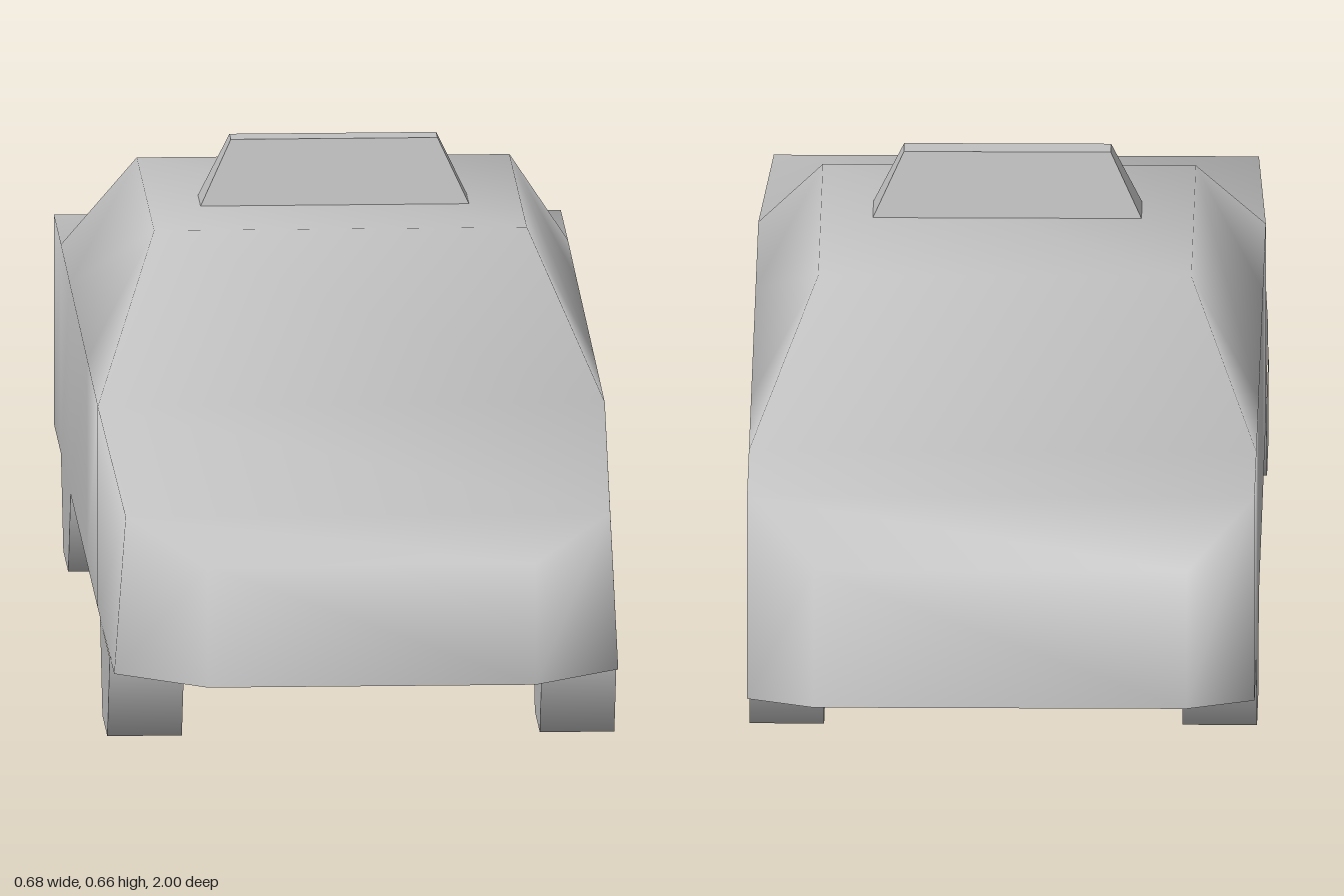
import * as THREE from 'three';
import { mergeVertices } from 'three/addons/utils/BufferGeometryUtils.js';

// Stations from nose to tail; each holds sill, belt and top as [x, y, z] on the left half.
const STATIONS = [
  [[0.22, 0.13, 1.0], [0.22, 0.29, 0.975], [0.22, 0.29, 0.975]],
  [[0.338, 0.116, 0.83], [0.325, 0.34, 0.88], [0.325, 0.34, 0.88]],
  [[0.34, 0.12, 0.4], [0.34, 0.395, 0.4], [0.34, 0.395, 0.4]],
  [[0.34, 0.12, 0.09], [0.34, 0.398, 0.09], [0.25, 0.573, 0.09]],
  [[0.34, 0.12, -0.41], [0.34, 0.402, -0.41], [0.25, 0.573, -0.41]],
  [[0.34, 0.12, -0.66], [0.34, 0.405, -0.66], [0.34, 0.405, -0.66]],
  [[0.34, 0.12, -0.865], [0.34, 0.405, -0.865], [0.34, 0.405, -0.865]],
  [[0.25, 0.15, -1.0], [0.25, 0.33, -0.96], [0.25, 0.33, -0.96]],
];

// Full cross-section: left sill up and over to right sill
const mirror = ([x, y, z]) => [-x, y, z];
const rings = STATIONS.map(([sill, belt, top]) => [sill, belt, top, mirror(top), mirror(belt), mirror(sill)]);

function surface(quads) {
  const points = [];
  for (const [a, b, c, d] of quads) points.push(...a, ...b, ...c, ...a, ...c, ...d);
  const geometry = new THREE.BufferGeometry();
  geometry.setAttribute('position', new THREE.Float32BufferAttribute(points, 3));
  const merged = mergeVertices(geometry);
  merged.computeVertexNormals();
  return merged;
}

export function createModel() {
  const model = new THREE.Group();
  model.name = 'car';
  const grey = new THREE.MeshStandardMaterial({ color: 0xc0c0c0 });
  grey.name = 'light grey';

  const add = (name, geometry) => {
    const mesh = new THREE.Mesh(geometry, grey);
    mesh.name = name;
    model.add(mesh);
    return mesh;
  };

  // Smooth body shell and flat floor
  const shell = [], floor = [];
  for (let i = 0; i < rings.length - 1; i++) {
    const p = rings[i], q = rings[i + 1];
    for (let j = 0; j < 6; j++) {
      const k = (j + 1) % 6;
      (j === 5 ? floor : shell).push([p[j], q[j], q[k], p[k]]);
    }
  }
  const nose = rings[0], tail = rings[rings.length - 1];
  shell.push([nose[0], nose[2], nose[3], nose[5]]);
  shell.push([tail[5], tail[3], tail[2], tail[0]]);
  add('body', surface(shell));
  add('floor', surface(floor));

  // Hexagonal wheels, lower halves below the body
  const wheel = new THREE.CylinderGeometry(0.14, 0.14, 0.1, 3, 1, false, Math.PI, Math.PI);
  wheel.rotateZ(Math.PI / 2);
  for (const [end, z] of [['front', 0.605], ['rear', -0.52]]) {
    for (const [side, s] of [['Left', 1], ['Right', -1]]) {
      add(`${end}${side}Wheel`, wheel).position.set(s * 0.29, 0.1213, z);
    }
  }

  // Roof sign: a box narrowed towards the top
  const sign = new THREE.BoxGeometry(0.36, 0.087, 0.076);
  const pos = sign.attributes.position;
  for (let i = 0; i < pos.count; i++) {
    if (pos.getY(i) > 0) {
      pos.setX(i, pos.getX(i) * 0.77);
      pos.setZ(i, pos.getZ(i) * 0.5);
    }
  }
  sign.computeVertexNormals();
  add('roofSign', sign).position.set(0, 0.6165, -0.112);

  return model;
}
